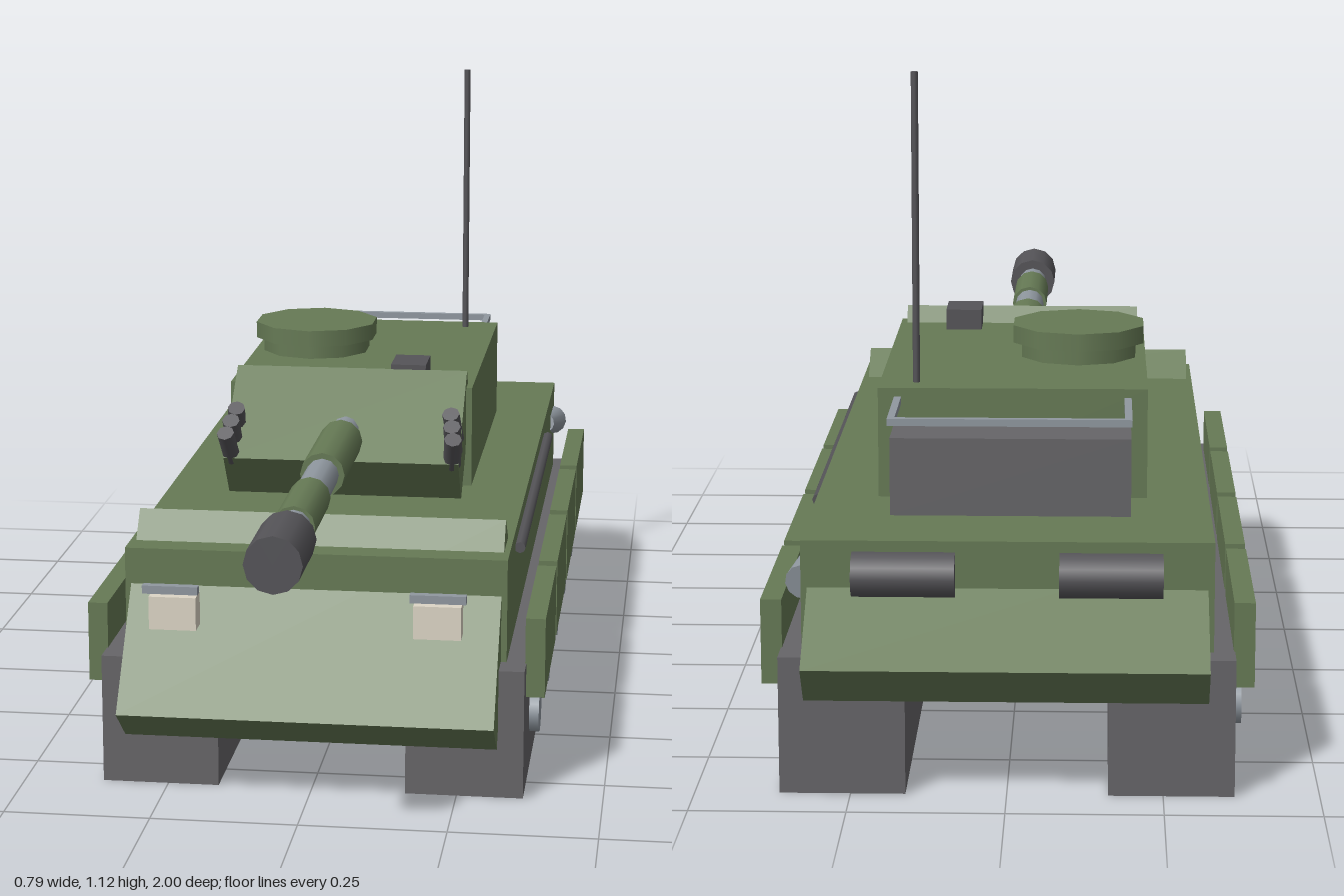
import * as THREE from 'three';

const paint = (color) => new THREE.MeshStandardMaterial({ color });
const green = paint(0x667a55), grey = paint(0x666568), dark = paint(0x555458);
const steel = paint(0x9098a0), cream = paint(0xddd6c6);

export function createModel() {
  const model = new THREE.Group();

  const add = (name, geometry, material, x, y, z, parent = model) => {
    const mesh = new THREE.Mesh(geometry, material);
    mesh.name = name;
    mesh.position.set(x, y, z);
    parent.add(mesh);
    return mesh;
  };
  // Box given by its extents on each axis
  const block = (name, material, [x0, x1], [y0, y1], [z0, z1], parent) =>
    add(name, new THREE.BoxGeometry(x1 - x0, y1 - y0, z1 - z0), material,
      (x0 + x1) / 2, (y0 + y1) / 2, (z0 + z1) / 2, parent);
  // Armour plate tilted about x
  const plate = (name, width, length, thick, y, z, tilt) => {
    add(name, new THREE.BoxGeometry(width, length, thick), green, 0, y, z).rotation.x = tilt;
  };
  // Cylinder between two points
  const rod = (name, material, a, b, r0, r1 = r0, sides = 12, parent = model) => {
    const from = new THREE.Vector3(...a), to = new THREE.Vector3(...b);
    const axis = to.clone().sub(from);
    const mid = from.clone().add(to).multiplyScalar(0.5);
    const mesh = add(name, new THREE.CylinderGeometry(r1, r0, axis.length(), sides), material,
      mid.x, mid.y, mid.z, parent);
    mesh.quaternion.setFromUnitVectors(new THREE.Vector3(0, 1, 0), axis.normalize());
    return mesh;
  };

  // Hull
  block('hull', green, [-0.33, 0.33], [0.17, 0.41], [-0.87, 0.53]);
  plate('frontPlate', 0.64, 0.381, 0.098, 0.2775, 0.522, -0.666);
  plate('rearPlate', 0.64, 0.25, 0.08, 0.278, -0.876, 0.927);
  block('driverHatch', green, [-0.24, -0.055], [0.4, 0.432], [0.23, 0.4]);

  // Running gear, lamps and exhausts, mirrored on both sides
  for (const s of [-1, 1]) {
    const side = new THREE.Group();
    side.name = s > 0 ? 'leftSide' : 'rightSide';
    model.add(side);
    const span = (a, b) => (s > 0 ? [a, b] : [-b, -a]);

    block('track', grey, span(0.162, 0.364), [0.004, 0.23], [-0.915, 0.58], side);
    for (let i = 0; i < 5; i++) {
      const z = 0.4 - i * 0.281;
      rod('wheelHub', steel, [s * 0.3, 0.104, z], [s * 0.381, 0.104, z], 0.04, 0.04, 12, side);
    }
    for (let i = 0; i < 4; i++) {
      const z = 0.37 - i * 0.357;
      block('skirtPanel', green, span(0.362, 0.396), [0.17, 0.31], [z - 0.163, z + 0.163], side);
    }
    block('headlight', cream, span(0.183, 0.263), [0.308, 0.365], [0.625, 0.665], side);
    block('headlightGuard', steel, span(0.178, 0.272), [0.373, 0.387], [0.66, 0.675], side);
    rod('rearExhaust', dark, [s * 0.083, 0.355, -0.87], [s * 0.248, 0.355, -0.87], 0.037, 0.037, 12, side);

    // Three smoke launchers leaning forward and outward
    for (let i = 0; i < 3; i++) {
      const y = 0.548 - i * 0.016, z = 0.128 + i * 0.032;
      rod('smokeLauncher', dark, [s * 0.202, y - 0.032, z - 0.022],
        [s * (0.197 + i * 0.005), y + 0.025, z + 0.022], 0.016, 0.016, 8, side);
    }
  }

  // Fittings on the left flank
  rod('towBar', dark, [0.338, 0.38, -0.495], [0.338, 0.38, 0.34], 0.01, 0.01, 8);
  rod('sideExhaust', steel, [0.318, 0.352, -0.735], [0.328, 0.334, -0.845], 0.02, 0.03);

  // Turret
  block('turret', green, [-0.226, 0.226], [0.4, 0.597], [-0.585, 0.035]);
  plate('turretFrontPlate', 0.43, 0.22, 0.105, 0.516, 0.073, -0.9);
  block('stowageBin', grey, [-0.198, 0.198], [0.41, 0.54], [-0.71, -0.58]);
  block('sight', dark, [0.073, 0.138], [0.58, 0.634], [-0.07, 0.02]);
  add('cupolaRing', new THREE.CylinderGeometry(0.105, 0.105, 0.05, 10), green, -0.108, 0.605, -0.287);
  add('cupolaLid', new THREE.CylinderGeometry(0.12, 0.12, 0.031, 10), green, -0.108, 0.639, -0.287);
  rod('antenna', dark, [0.164, 0.59, -0.535], [0.164, 1.122, -0.535], 0.006, 0.006, 8);

  // Rail round the back of the turret
  for (const s of [-1, 1]) {
    block('railSide', steel, s > 0 ? [0.187, 0.199] : [-0.199, -0.187], [0.57, 0.582], [-0.75, -0.58]);
  }
  block('railBack', steel, [-0.199, 0.199], [0.57, 0.582], [-0.752, -0.74]);

  // Gun: a long tube carrying sleeves and a muzzle brake
  const gun = new THREE.Group();
  gun.name = 'gun';
  model.add(gun);
  const sleeve = (name, material, z0, z1, r) =>
    rod(name, material, [0, 0.525, z0], [0, 0.525, z1], r, r, 12, gun);
  sleeve('barrel', steel, 0.03, 0.9, 0.029);
  sleeve('rearSleeve', green, 0.18, 0.433, 0.039);
  sleeve('frontSleeve', green, 0.585, 0.775, 0.035);
  sleeve('muzzleBrake', dark, 0.845, 1, 0.047);

  return model;
}
